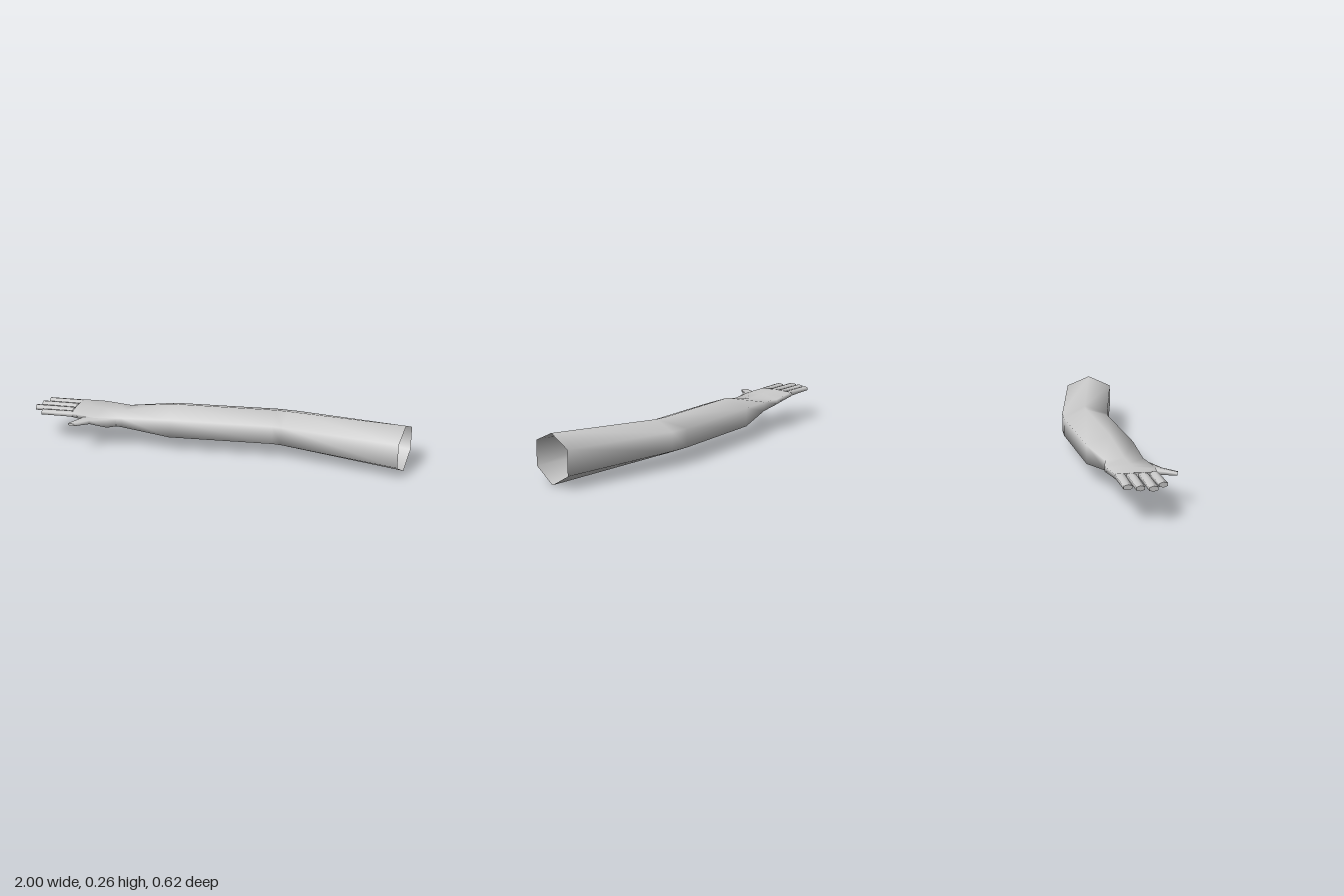
import * as THREE from 'three';

const skin = new THREE.MeshStandardMaterial({ color: 0xcccccc, side: THREE.DoubleSide });
skin.name = 'pale grey';

// Six-sided section: back edge (x, z), front edge (x, z), bottom and top ridge y, side edge low and high y
function section([bx, bz, fx, fz, bottom, top, low, high]) {
  const mx = (bx + fx) / 2, mz = (bz + fz) / 2;
  return [
    [mx, top, mz], [fx, high, fz], [fx, low, fz],
    [mx, bottom, mz], [bx, low, bz], [bx, high, bz],
  ];
}

// Skins a row of sections, leaving the first end open and closing the last
function loft(name, rows) {
  const rings = rows.map(section);
  const positions = rings.flat(2);
  const index = [];
  for (let i = 0; i < rings.length - 1; i++) {
    for (let k = 0; k < 6; k++) {
      const a = i * 6 + k, b = i * 6 + (k + 1) % 6;
      index.push(a, a + 6, b, b, a + 6, b + 6);
    }
  }
  // Flat end cap on its own vertices
  const start = positions.length / 3;
  positions.push(...rings[rings.length - 1].flat());
  for (let k = 1; k < 5; k++) index.push(start, start + k + 1, start + k);

  const geometry = new THREE.BufferGeometry();
  geometry.setAttribute('position', new THREE.Float32BufferAttribute(positions, 3));
  geometry.setIndex(index);
  geometry.computeVertexNormals();
  const mesh = new THREE.Mesh(geometry, skin);
  mesh.name = name;
  return mesh;
}

export function createModel() {
  const arm = new THREE.Group();
  arm.name = 'arm';

  // Open shoulder, elbow bend, forearm, wrist and palm
  arm.add(loft('armAndPalm', [
    [1.00, -0.31, 1.00, -0.052, 0.00, 0.257, 0.07, 0.20],
    [0.36, -0.31, 0.36, -0.055, 0.035, 0.229, 0.085, 0.185],
    [0.25, -0.295, 0.31, -0.05, 0.035, 0.229, 0.085, 0.185],
    [-0.30, -0.15, -0.23, 0.09, 0.035, 0.229, 0.085, 0.185],
    [-0.53, -0.05, -0.49, 0.14, 0.125, 0.18, 0.12, 0.172],
    [-0.63, -0.05, -0.63, 0.195, 0.14, 0.186, 0.145, 0.172],
    [-0.69, -0.034, -0.69, 0.20, 0.15, 0.187, 0.153, 0.178],
    [-0.80, 0.003, -0.765, 0.206, 0.156, 0.187, 0.161, 0.182],
  ]));

  // Thumb growing out of the heel of the hand
  arm.add(loft('thumb', [
    [-0.55, 0.08, -0.47, 0.12, 0.125, 0.17, 0.13, 0.165],
    [-0.68, 0.13, -0.56, 0.178, 0.113, 0.172, 0.12, 0.168],
    [-0.695, 0.21, -0.64, 0.23, 0.143, 0.173, 0.148, 0.169],
    [-0.73, 0.302, -0.69, 0.305, 0.153, 0.169, 0.157, 0.166],
  ]));

  // Fingers: back and front edge at the knuckle, then at the tip
  const fingers = {
    littleFinger: [-0.79, 0.001, -0.79, 0.049, -0.98, 0.045, -0.968, 0.086],
    ringFinger: [-0.79, 0.058, -0.79, 0.103, -0.995, 0.104, -0.982, 0.144],
    middleFinger: [-0.78, 0.115, -0.78, 0.160, -1.0, 0.163, -0.987, 0.206],
    indexFinger: [-0.765, 0.167, -0.755, 0.208, -0.938, 0.210, -0.924, 0.251],
  };
  for (const [name, f] of Object.entries(fingers)) {
    arm.add(loft(name, [
      [...f.slice(0, 4), 0.156, 0.188, 0.163, 0.181],
      [...f.slice(4), 0.160, 0.187, 0.166, 0.181],
    ]));
  }
  return arm;
}
